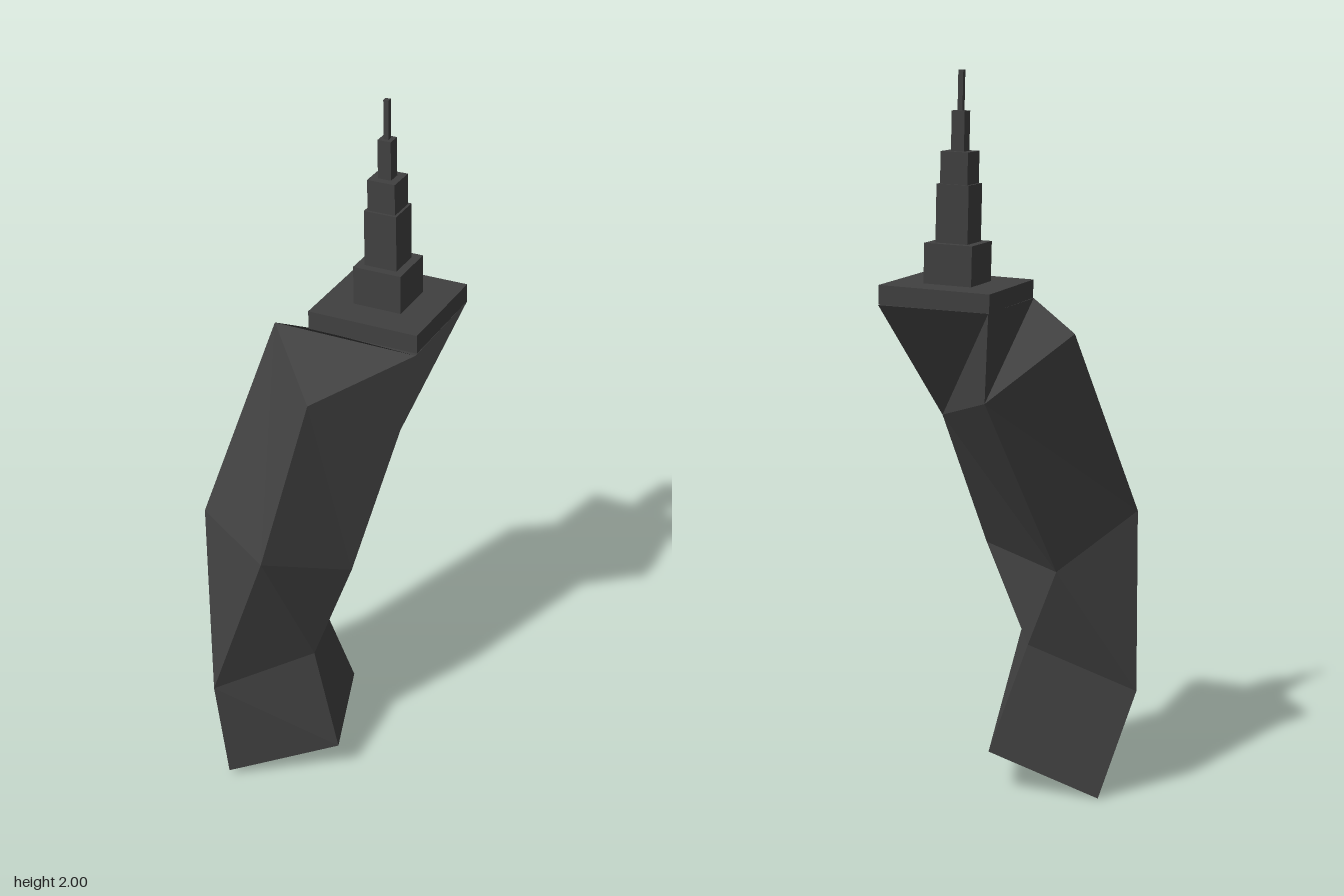
import * as THREE from 'three';

const material = new THREE.MeshStandardMaterial({ color: 0x404040, flatShading: true });

// Four-cornered floors of the twisted body, bottom to top.
// Corner order: front left, front right, back right, back left as seen from the front.
const floors = [
  [[-0.30, 0.02, 0.26], [0.02, 0.10, 0.235], [0.065, 0.12, -0.055], [-0.235, 0, -0.13]],
  [[-0.335, 0.335, 0.25], [-0.05, 0.41, 0.18], [-0.045, 0.43, -0.06], [-0.345, 0.30, -0.10]],
  [[-0.19, 0.81, 0.28], [0.055, 0.68, 0.135], [-0.115, 0.655, -0.135], [-0.36, 0.79, 0.01]],
  [[-0.065, 1.23, 0.135], [0.185, 1.07, 0.01], [0.09, 1.145, -0.28], [-0.16, 1.31, -0.155]],
  [[0.215, 1.40, 0.15], [0.36, 1.39, -0.14], [0.08, 1.38, -0.28], [-0.065, 1.39, 0]],
];

// Skin the floors with triangles; the last storey twists the other way.
function bodyGeometry() {
  const index = [];
  const last = floors.length - 1;
  for (let f = 0; f < last; f++) {
    for (let i = 0; i < 4; i++) {
      const j = (i + 1) % 4;
      const a = f * 4 + i, b = f * 4 + j, c = a + 4, d = b + 4;
      if (f === last - 1) index.push(a, b, d, a, d, c);
      else index.push(a, b, c, b, d, c);
    }
  }
  // Closed bottom and top
  const t = last * 4;
  index.push(0, 2, 1, 0, 3, 2, t, t + 1, t + 2, t, t + 2, t + 3);
  const geometry = new THREE.BufferGeometry();
  geometry.setAttribute('position', new THREE.Float32BufferAttribute(floors.flat(2), 3));
  geometry.setIndex(index);
  const flat = geometry.toNonIndexed();
  flat.computeVertexNormals();
  return flat;
}

export function createModel() {
  const model = new THREE.Group();
  model.name = 'twistedTower';

  const body = new THREE.Mesh(bodyGeometry(), material);
  body.name = 'twistedBody';
  model.add(body);

  // Roof slab and stepped spire, turned and leaning slightly
  const crown = new THREE.Group();
  crown.name = 'crown';
  crown.position.set(0.148, 1.39, -0.067);
  crown.rotation.set(-0.05, -0.464, 0.023, 'XZY');
  model.add(crown);

  const tiers = [
    // name, width, bottom, top
    ['roofSlab', 0.315, 0, 0.052],
    ['spireBase', 0.137, 0.052, 0.16],
    ['spireLowerShaft', 0.092, 0.16, 0.315],
    ['spireUpperShaft', 0.078, 0.315, 0.40],
    ['spireNeck', 0.037, 0.40, 0.505],
    ['spireNeedle', 0.014, 0.505, 0.61],
  ];
  for (const [name, width, bottom, top] of tiers) {
    const tier = new THREE.Mesh(new THREE.BoxGeometry(width, top - bottom, width), material);
    tier.name = name;
    tier.position.y = (bottom + top) / 2;
    crown.add(tier);
  }
  return model;
}
